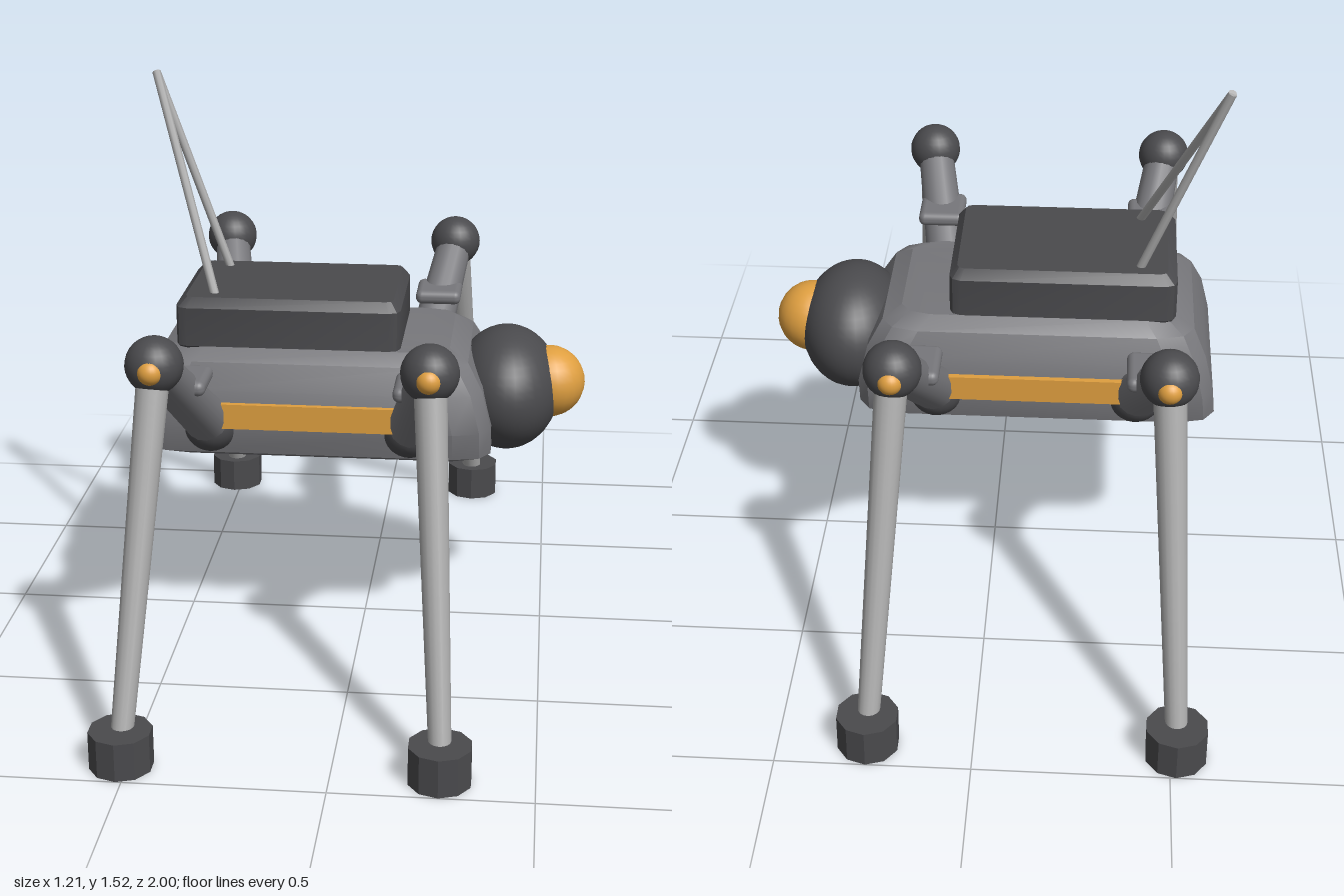
import * as THREE from 'three';
import { toCreasedNormals } from 'three/addons/utils/BufferGeometryUtils.js';
import { RoundedBoxGeometry } from 'three/addons/geometries/RoundedBoxGeometry.js';

const material = (name, color) => {
  const m = new THREE.MeshStandardMaterial({ color });
  m.name = name;
  return m;
};

// Stack of rounded-rectangle plans; each section is [y, xMin, xMax, halfWidth, cornerX, cornerZ]
function loftPlans(sections, cornerSteps) {
  const pos = [], index = [];
  const signs = [[1, 1], [-1, 1], [-1, -1], [1, -1]];
  const n = 4 * (cornerSteps + 1);
  for (const [y, x0, x1, w, cx, cz] of sections) {
    signs.forEach(([sx, sz], q) => {
      for (let k = 0; k <= cornerSteps; k++) {
        const a = (q + k / cornerSteps) * Math.PI / 2;
        const x = sx > 0 ? x1 - cx : x0 + cx;
        pos.push(x + cx * Math.cos(a), y, sz * (w - cz) + cz * Math.sin(a));
      }
    });
  }
  const last = sections.length - 1;
  for (let s = 0; s < last; s++) {
    for (let i = 0; i < n; i++) {
      const a = s * n + i, b = s * n + (i + 1) % n;
      index.push(a, a + n, b, b, a + n, b + n);
    }
  }
  for (let i = 1; i < n - 1; i++) {
    index.push(0, i, i + 1);
    index.push(last * n, last * n + i + 1, last * n + i);
  }
  const g = new THREE.BufferGeometry();
  g.setAttribute('position', new THREE.Float32BufferAttribute(pos, 3));
  g.setIndex(index);
  return toCreasedNormals(g, 0.5);
}

export function createModel() {
  const model = new THREE.Group();
  model.name = 'fourLeggedRobot';
  const grey = material('mid grey', 0x77777b);
  const dark = material('dark grey', 0x4a4a4d);
  const light = material('light grey', 0xaaaaaa);
  const gold = material('amber', 0xdf9f40);

  const add = (parent, name, geometry, mat, x = 0, y = 0, z = 0) => {
    const mesh = new THREE.Mesh(geometry, mat);
    mesh.name = name;
    mesh.position.set(x, y, z);
    parent.add(mesh);
    return mesh;
  };
  const ball = r => new THREE.SphereGeometry(r, 24, 16);
  const rod = (parent, name, from, to, r0, r1, mat, sides = 16) => {
    const a = new THREE.Vector3(...from), b = new THREE.Vector3(...to);
    const dir = b.clone().sub(a);
    const mesh = add(parent, name, new THREE.CylinderGeometry(r1, r0, dir.length(), sides), mat);
    mesh.position.copy(a).add(b).multiplyScalar(0.5);
    mesh.quaternion.setFromUnitVectors(new THREE.Vector3(0, 1, 0), dir.normalize());
  };

  // Hull, tapering upwards
  add(model, 'body', loftPlans([
    [0.545, -0.516, 0.307, 0.2, 0.06, 0.05],
    [0.575, -0.604, 0.355, 0.265, 0.1, 0.06],
    [0.65, -0.597, 0.355, 0.283, 0.1, 0.06],
    [0.75, -0.573, 0.33, 0.268, 0.1, 0.06],
    [0.82, -0.54, 0.29, 0.24, 0.1, 0.06],
    [0.85, -0.49, 0.24, 0.2, 0.08, 0.05]
  ], 2), grey);

  // Equipment pack on the back
  add(model, 'backPack', loftPlans([
    [0.82, -0.47, 0.09, 0.18, 0.02, 0.02],
    [0.85, -0.49, 0.11, 0.2, 0.03, 0.03],
    [0.955, -0.49, 0.11, 0.2, 0.03, 0.03],
    [0.98, -0.465, 0.09, 0.178, 0.02, 0.02]
  ], 2), dark);

  // Head and eye
  add(model, 'head', new THREE.SphereGeometry(1, 32, 24), dark, 0.39, 0.695).scale.set(0.146, 0.168, 0.2);
  add(model, 'eye', ball(0.098), gold, 0.505, 0.714);

  // Two antenna rods meeting at a tip
  for (const z of [0.135, -0.135]) {
    rod(model, 'antenna', [-0.39, 0.97, z], [-0.597, 1.51, -0.2], 0.012, 0.012, light, 8);
  }

  for (const side of [1, -1]) {
    add(model, 'sideRail', new THREE.BoxGeometry(0.5, 0.068, 0.016), gold, -0.125, 0.697, side * 0.312);

    // Hip, thigh, guard, knee, shin and foot: x of hip, knee and foot
    for (const [hipX, kneeX, footX] of [[-0.39, -0.463, -0.515], [0.142, 0.215, 0.268]]) {
      const leg = new THREE.Group();
      leg.name = (hipX > 0 ? 'front' : 'rear') + 'Leg';
      model.add(leg);
      const hip = [hipX, 0.65, side * 0.25], knee = [kneeX, 0.937, side * 0.61];
      add(leg, 'hip', ball(0.073), dark, ...hip);
      rod(leg, 'thigh', hip, knee, 0.062, 0.05, grey);
      add(leg, 'thighGuard', new RoundedBoxGeometry(0.13, 0.04, 0.15, 3, 0.018), grey,
        (hipX + kneeX) / 2, 0.832, side * 0.423);
      add(leg, 'knee', ball(0.073), dark, ...knee);
      add(leg, 'kneeLight', ball(0.032), gold, kneeX, 0.935, side * 0.663);
      rod(leg, 'shin', knee, [footX, 0.06, side * 0.915], 0.042, 0.028, light);
      add(leg, 'foot', toCreasedNormals(new THREE.CylinderGeometry(0.08, 0.08, 0.1, 10), 0.5),
        dark, footX, 0.05, side * 0.92);
    }
  }
  return model;
}
